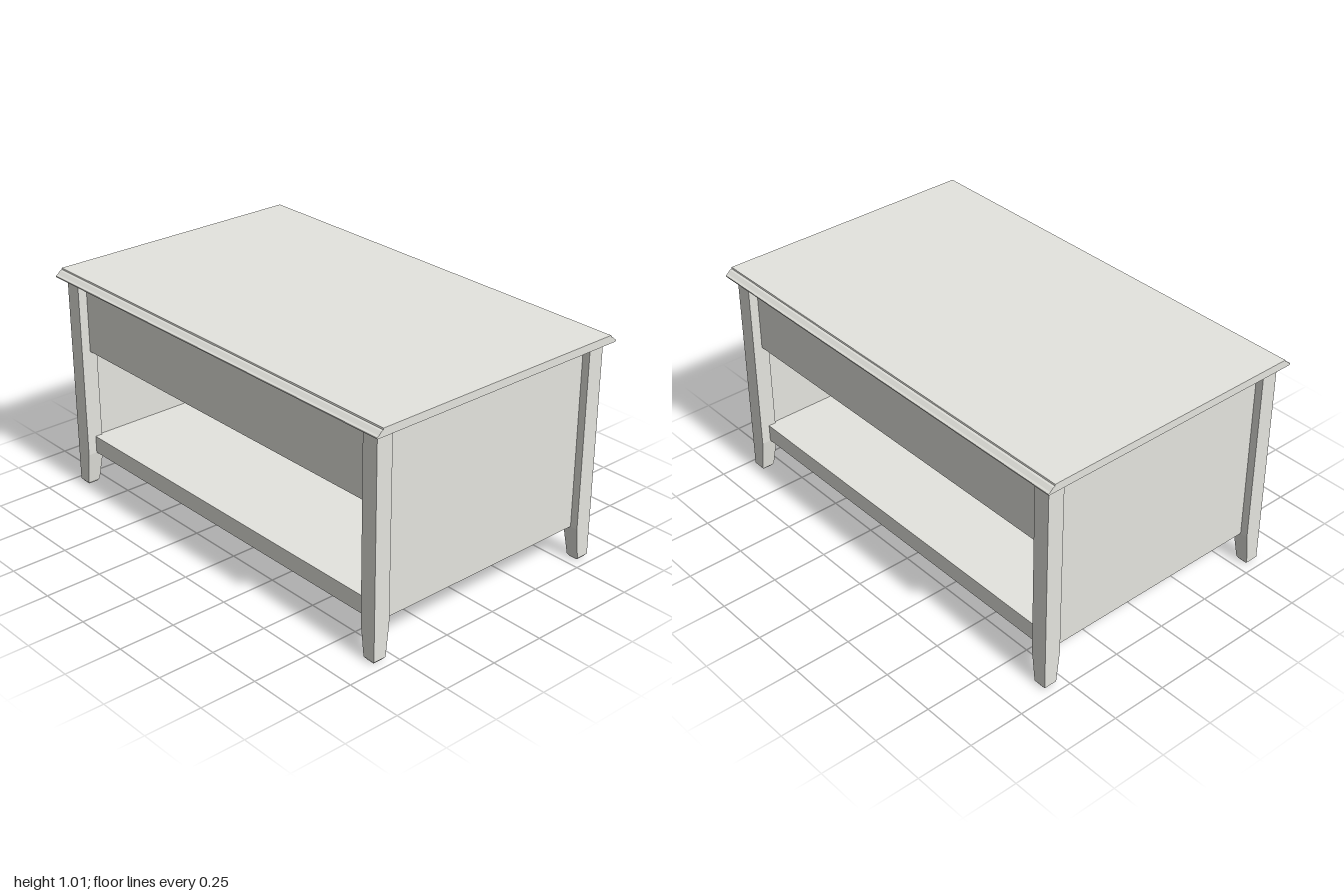
import * as THREE from 'three';

const paint = new THREE.MeshStandardMaterial({ color: 0xe5e5df });
paint.name = 'pale grey paint';

function add(parent, name, geometry, x = 0, y = 0, z = 0) {
  const mesh = new THREE.Mesh(geometry, paint);
  mesh.name = name;
  mesh.position.set(x, y, z);
  parent.add(mesh);
  return mesh;
}

// Box given by its limits on each axis
function block(parent, name, x0, x1, y0, y1, z0, z1) {
  return add(parent, name, new THREE.BoxGeometry(x1 - x0, y1 - y0, z1 - z0),
    (x0 + x1) / 2, (y0 + y1) / 2, (z0 + z1) / 2);
}

function shapeOf(points) {
  return new THREE.Shape(points.map(([x, y]) => new THREE.Vector2(x, y)));
}

// Square leg: straight above, inner sides tapering below the shelf, chamfered foot
function legGeometry(sx, sz) {
  const rings = [ // height, inner x, outer x, inner z, outer z
    [0, 0.916, 0.955, 0.549, 0.592],
    [0.012, 0.907, 0.965, 0.541, 0.6],
    [0.155, 0.89, 0.965, 0.525, 0.6],
    [0.975, 0.89, 0.965, 0.525, 0.6],
  ];
  const geometry = new THREE.BoxGeometry(2, 3, 2, 1, 3, 1);
  const p = geometry.attributes.position;
  for (let i = 0; i < p.count; i++) {
    const [y, xi, xo, zi, zo] = rings[Math.round(p.getY(i) + 1.5)];
    p.setXYZ(i, sx * (p.getX(i) * sx > 0 ? xo : xi), y, sz * (p.getZ(i) * sz > 0 ? zo : zi));
  }
  const flat = geometry.toNonIndexed();
  flat.computeVertexNormals();
  return flat;
}

export function createModel() {
  const table = new THREE.Group();
  table.name = 'coffeeTable';

  // Table top: moulded along the front and back edges, square at the ends
  const edge = [[0.632, 0.975], [0.635, 0.977], [0.635, 0.982], [0.626, 0.987], [0.612, 1.0], [0.604, 1.003], [0.603, 1.01]];
  const profile = [...edge, ...edge.map(([z, y]) => [-z, y]).reverse()];
  const top = new THREE.ExtrudeGeometry(shapeOf(profile), { depth: 2, bevelEnabled: false });
  top.translate(0, 0, -1);
  top.rotateY(Math.PI / 2);
  add(table, 'tableTop', top);

  for (const sx of [1, -1]) {
    for (const sz of [1, -1]) add(table, 'leg', legGeometry(sx, sz));
    // Side panel, set in from the outer faces of the legs
    block(table, 'sidePanel', sx * 0.915 - 0.015, sx * 0.915 + 0.015, 0.155, 0.972, -0.53, 0.53);
  }

  // Front and back aprons with a shallow finger dip, and the shelf rails
  const apronShape = shapeOf([[-0.895, 0.645], [0.895, 0.645], [0.895, 0.972], [0.31, 0.972],
    [0.27, 0.968], [0.22, 0.961], [0.19, 0.959], [-0.19, 0.959], [-0.22, 0.961], [-0.27, 0.968], [-0.31, 0.972], [-0.895, 0.972]]);
  for (const sz of [1, -1]) {
    const apron = new THREE.ExtrudeGeometry(apronShape, { depth: 0.03, bevelEnabled: false });
    add(table, 'apron', apron, 0, 0, sz * 0.544 - 0.015);
    block(table, 'shelfRail', -0.895, 0.895, 0.156, 0.235, sz * 0.544 - 0.015, sz * 0.544 + 0.015);
  }

  // Lower shelf
  block(table, 'shelf', -0.902, 0.902, 0.205, 0.234, -0.53, 0.53);

  // Floor of the hidden compartment, with a round cable hole
  const floorShape = shapeOf([[-0.902, -0.53], [0.902, -0.53], [0.902, 0.53], [-0.902, 0.53]]);
  floorShape.holes.push(new THREE.Path().absarc(-0.8, 0.445, 0.045, 0, Math.PI * 2, true));
  const floor = new THREE.ExtrudeGeometry(floorShape, { depth: 0.022, bevelEnabled: false, curveSegments: 16 });
  floor.rotateX(-Math.PI / 2);
  add(table, 'compartmentFloor', floor, 0, 0.648, 0);

  // Cable grommet lining the hole
  const grommet = new THREE.TorusGeometry(0.048, 0.009, 8, 24);
  grommet.rotateX(Math.PI / 2);
  add(table, 'cableGrommet', grommet, -0.8, 0.654, -0.445);

  // Small screw heads beneath the shelf and the compartment
  const screw = new THREE.CylinderGeometry(0.008, 0.008, 0.006, 10);
  for (const [y, xs] of [[0.204, [-0.74, 0, 0.74]], [0.648, [-0.52, 0.52]]]) {
    for (const x of xs) {
      for (const z of [-0.45, 0.45]) add(table, 'screwHead', screw, x, y, z);
    }
  }

  return table;
}
